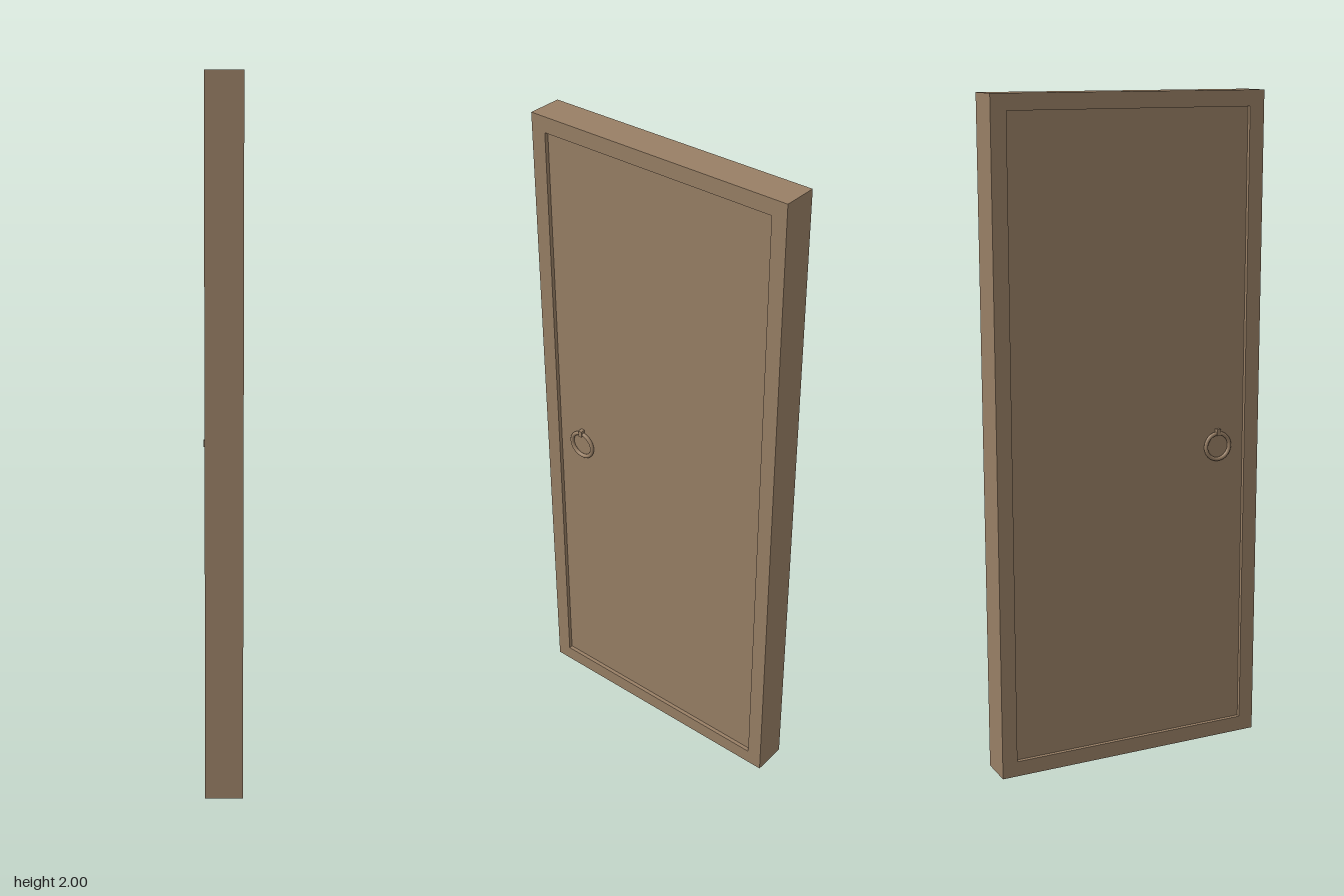
import * as THREE from 'three';

const HEIGHT = 2, WIDTH = 0.856, DEPTH = 0.106, BORDER = 0.047, RECESS = 0.012;

export function createModel() {
  const model = new THREE.Group();
  model.name = 'door';
  const wood = new THREE.MeshStandardMaterial({ color: 0x987f65 });
  wood.name = 'brown wood';

  const add = (parent, name, geometry, x, y, z) => {
    const mesh = new THREE.Mesh(geometry, wood);
    mesh.name = name;
    mesh.position.set(x, y, z);
    parent.add(mesh);
    return mesh;
  };

  // Rectangular frame: an outline with a hole, turned so its thickness runs along x
  const rectangle = (Type, w, y0, y1) => new Type([
    new THREE.Vector2(-w / 2, y0), new THREE.Vector2(w / 2, y0),
    new THREE.Vector2(w / 2, y1), new THREE.Vector2(-w / 2, y1),
  ]);
  const outline = rectangle(THREE.Shape, WIDTH, 0, HEIGHT);
  outline.holes.push(rectangle(THREE.Path, WIDTH - 2 * BORDER, BORDER, HEIGHT - BORDER));
  const frame = new THREE.ExtrudeGeometry(outline, { depth: DEPTH, bevelEnabled: false });
  frame.translate(0, 0, -DEPTH / 2).rotateY(Math.PI / 2);
  add(model, 'frame', frame, 0, 0, 0);

  // Panel set back from the frame on both faces
  const panelDepth = DEPTH - 2 * RECESS;
  add(model, 'panel',
    new THREE.BoxGeometry(panelDepth, HEIGHT - 2 * BORDER, WIDTH - 2 * BORDER),
    0, HEIGHT / 2, 0);

  // Ring pull hanging from a small staple, one on each face
  const ring = new THREE.TorusGeometry(0.04, 0.006, 12, 40).rotateY(Math.PI / 2);
  const staple = new THREE.BoxGeometry(0.016, 0.02, 0.012);
  for (const side of [-1, 1]) {
    const handle = new THREE.Group();
    handle.name = side > 0 ? 'leftHandle' : 'rightHandle';
    add(handle, 'ring', ring, side * 0.047, 0.943, 0.292);
    add(handle, 'staple', staple, side * 0.048, 0.987, 0.292);
    model.add(handle);
  }
  return model;
}
